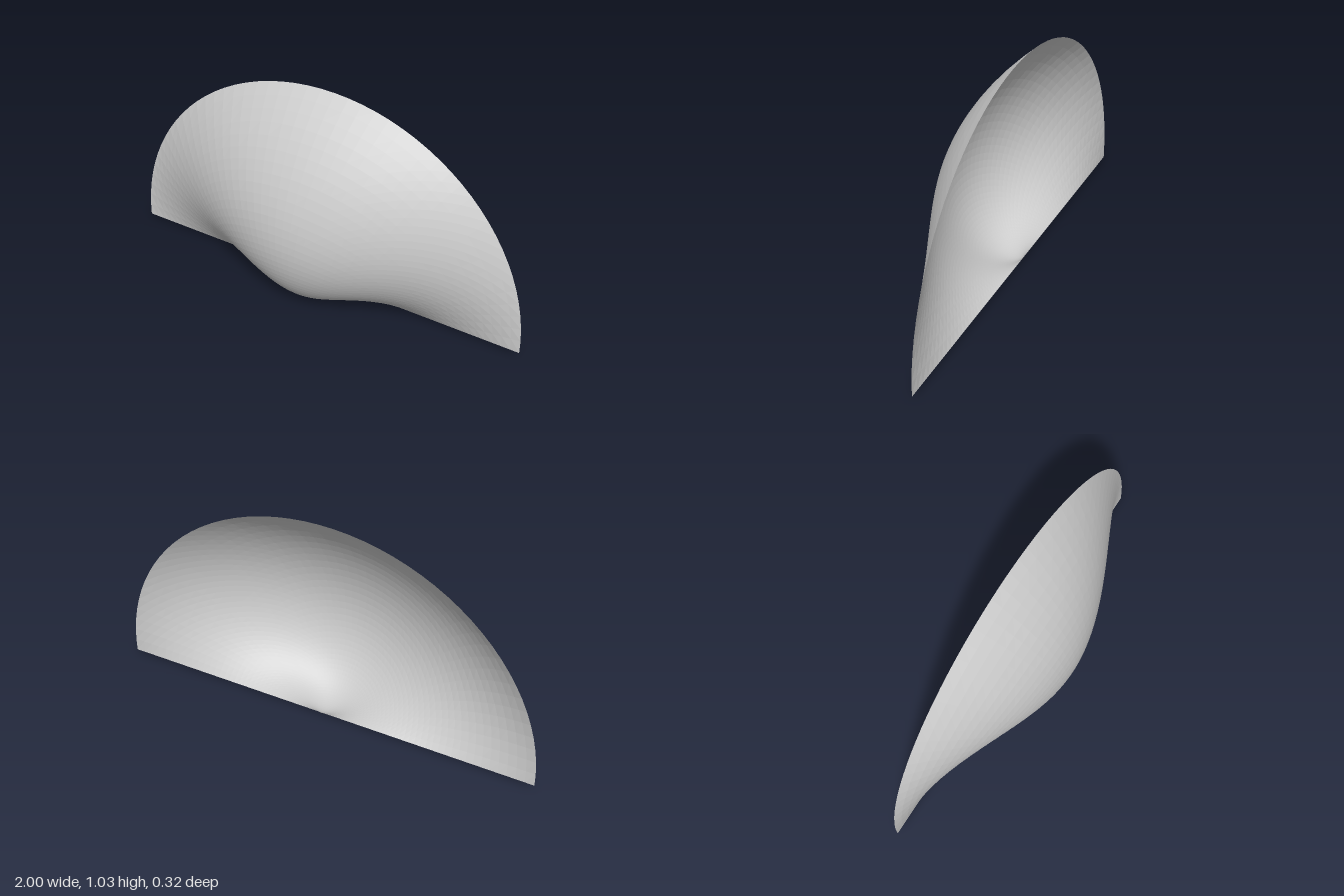
import * as THREE from 'three';

// Half-shell: semicircular ribs hinged on one straight line (the x axis),
// shrinking steadily as they fold forward and under.
const RIBS = 64;
const SEGMENTS = 48;
const FOLD = Math.PI;   // total fold angle from upright
const SHRINK = 2.74;    // power by which rib radius falls to zero
const HINGE_Y = 0.025;
const HINGE_Z = -0.162;

function createShell() {
  const geometry = new THREE.PlaneGeometry(1, 1, SEGMENTS, RIBS);
  const position = geometry.attributes.position;
  const uv = geometry.attributes.uv;
  for (let i = 0; i < position.count; i++) {
    const t = 1 - uv.getY(i);                     // 0 at outer rim, 1 at the hinge centre
    const around = Math.PI * (1 - uv.getX(i));    // position along the rib
    const fold = FOLD * t;
    const radius = Math.pow(1 - t, SHRINK);
    const reach = radius * Math.sin(around);
    position.setXYZ(
      i,
      radius * Math.cos(around),
      HINGE_Y + reach * Math.cos(fold),
      HINGE_Z + reach * Math.sin(fold)
    );
  }
  geometry.computeVertexNormals();
  const material = new THREE.MeshStandardMaterial({
    color: 0xcccccc,
    flatShading: true,
    side: THREE.DoubleSide
  });
  const shell = new THREE.Mesh(geometry, material);
  shell.name = 'shell';
  return shell;
}

export function createModel() {
  const model = new THREE.Group();
  model.name = 'foldedHalfShell';
  model.add(createShell());
  return model;
}
